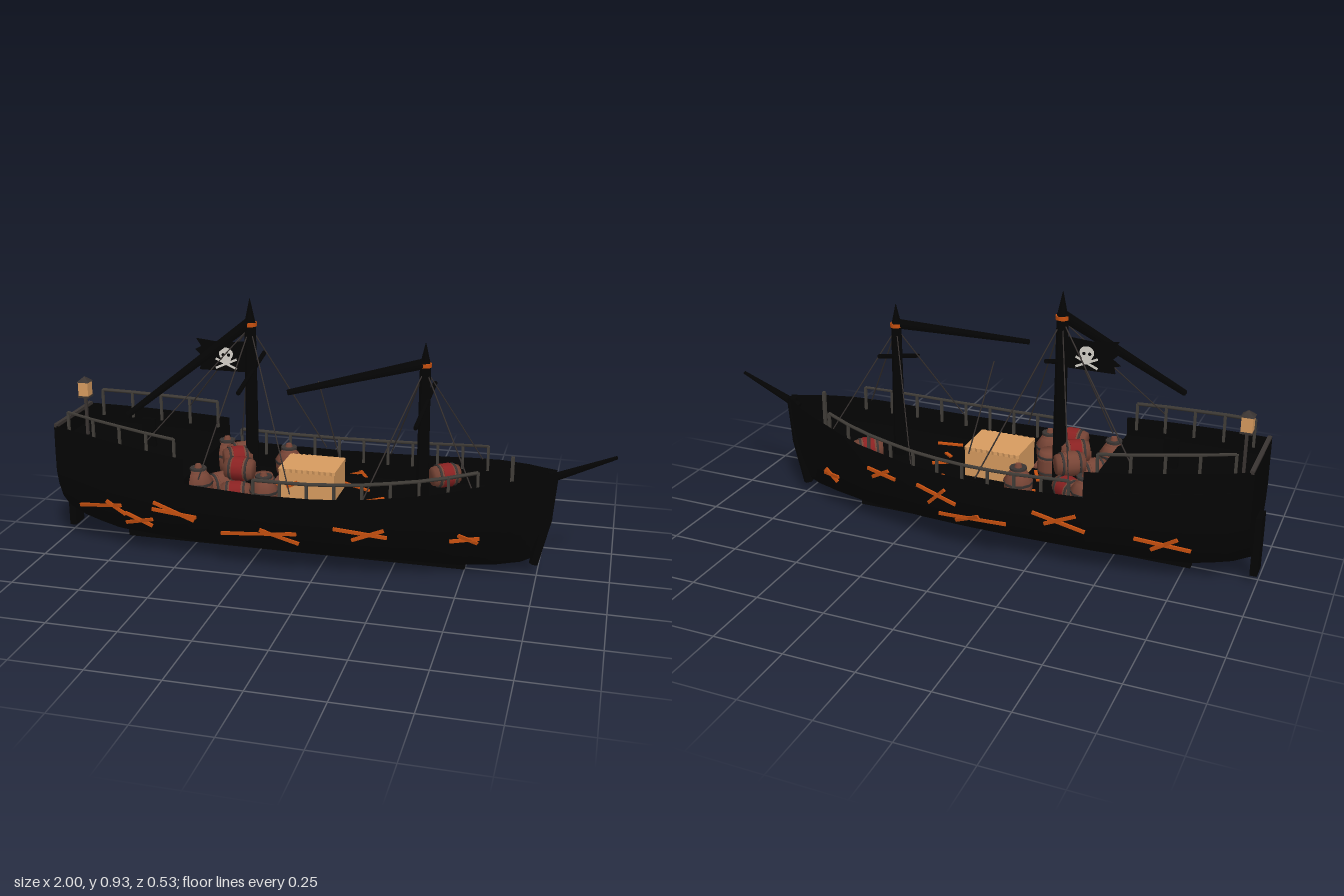
import * as THREE from 'three';

const mat = (name, color, side = THREE.FrontSide) => {
  const m = new THREE.MeshStandardMaterial({ color, side });
  m.name = name;
  return m;
};

// Piecewise-linear lookup in a short list of [x, value] pairs
function lookup(list, x) {
  if (x <= list[0][0]) return list[0][1];
  for (let i = 1; i < list.length; i++) {
    const [a, p] = list[i - 1], [b, q] = list[i];
    if (x <= b) return p + (q - p) * (x - a) / (b - a);
  }
  return list[list.length - 1][1];
}

const WIDTH = [[-0.98, 0.15], [-0.8, 0.197], [-0.6, 0.234], [-0.45, 0.252], [-0.15, 0.264], [0.05, 0.257],
  [0.2, 0.24], [0.4, 0.2], [0.5, 0.168], [0.6, 0.127], [0.7, 0.078], [0.76, 0.036], [0.8, 0.012]];
const KEEL = [[-0.98, 0.09], [-0.9, 0.05], [-0.77, 0.02], [-0.5, 0.01], [0.5, 0.01], [0.65, 0.025], [0.75, 0.045], [0.8, 0.07]];
const SHEER = [[-0.98, 0.37], [-0.45, 0.32], [-0.2, 0.31], [0, 0.31], [0.2, 0.32], [0.4, 0.34], [0.6, 0.37], [0.8, 0.39]];
const PROFILE = [[0, 0], [0.03, 0.15], [0.11, 0.4], [0.31, 0.74], [0.52, 0.92], [0.71, 1], [1, 1]];
const STEP = -0.45;
const aftTop = x => 0.41 + (STEP - x) * 0.095;
const hullZ = (x, y) => {
  const k = lookup(KEEL, x);
  return lookup(WIDTH, x) * lookup(PROFILE, (y - k) / (lookup(SHEER, x) - k));
};
const rake = (x, y) => x - 0.08 * Math.max(0, (x - 0.4) / 0.4) * (1 - Math.min(1, y / 0.38)) ** 1.5;
const deckY = x => lookup(SHEER, x) - 0.1;

// Skin through equal-length cross-sections
function loft(sections) {
  const n = sections[0].length, index = [];
  for (let i = 0; i < sections.length - 1; i++) for (let j = 0; j < n - 1; j++) {
    const a = i * n + j, b = a + n;
    index.push(a, a + 1, b, b, a + 1, b + 1);
  }
  const g = new THREE.BufferGeometry();
  g.setAttribute('position', new THREE.Float32BufferAttribute(sections.flat(2), 3));
  g.setIndex(index);
  g.computeVertexNormals();
  return g;
}

export function createModel() {
  const ship = new THREE.Group();
  ship.name = 'sailingShip';
  const black = mat('charredWood', 0x040404, THREE.DoubleSide);
  const railMat = mat('greyWood', 0x423e39);
  const orange = mat('rustOrange', 0xc8500f);
  const tan = mat('paleWood', 0xd89c60);
  const brown = mat('barrelBrown', 0x784536);
  const red = mat('barrelRed', 0x8a2222);
  const iron = mat('iron', 0x3a3432);
  const bone = mat('bone', 0xd8d4cc, THREE.DoubleSide);

  const add = (name, geo, m, x = 0, y = 0, z = 0, parent = ship) => {
    const mesh = new THREE.Mesh(geo, m);
    mesh.name = name;
    mesh.position.set(x, y, z);
    parent.add(mesh);
    return mesh;
  };
  const box = (name, m, w, h, d, x, y, z, parent) => add(name, new THREE.BoxGeometry(w, h, d), m, x, y, z, parent);
  // Tapered round bar between two points
  const beam = (name, m, a, b, r0, r1 = r0, sides = 6) => {
    const p = new THREE.Vector3(...a), q = new THREE.Vector3(...b), d = q.clone().sub(p);
    const mesh = add(name, new THREE.CylinderGeometry(r1, r0, d.length(), sides), m);
    mesh.position.copy(p).add(q).multiplyScalar(0.5);
    mesh.quaternion.setFromUnitVectors(new THREE.Vector3(0, 1, 0), d.normalize());
  };
  // Flat strip of wood between two points, its broad face towards `out`
  const strip = (name, a, b, out) => {
    const p = new THREE.Vector3(...a), q = new THREE.Vector3(...b), d = q.clone().sub(p);
    const mesh = add(name, new THREE.BoxGeometry(d.length(), 0.012, 0.007), orange);
    mesh.position.copy(p).add(q).multiplyScalar(0.5);
    d.normalize();
    const up = new THREE.Vector3(...out).cross(d).normalize();
    mesh.quaternion.setFromRotationMatrix(new THREE.Matrix4().makeBasis(d, up, d.clone().cross(up)));
  };

  // Hull skin, with a raised after part
  const section = (x, raised) => {
    const k = lookup(KEEL, x), s = lookup(SHEER, x), w = lookup(WIDTH, x);
    const half = PROFILE.map(([v, u]) => [k + (s - k) * v, w * u]);
    half.push([raised ? aftTop(x) : s + 0.001, w * (raised ? 0.98 : 1)]);
    const at = sign => ([y, z]) => [rake(x, y), y, sign * z];
    return [...half.slice(1).reverse().map(at(1)), ...half.map(at(-1))];
  };
  const span = (a, b, n) => Array.from({ length: n + 1 }, (_, i) => a + (b - a) * i / n);
  const aft = span(-0.98, STEP, 8), fore = span(STEP, 0.8, 25);
  add('hull', loft([...aft.map(x => section(x, true)), ...fore.map(x => section(x, false))]), black);
  const sternEdge = section(-0.98, true).map(p => new THREE.Vector2(p[2], p[1]));
  add('transom', new THREE.ShapeGeometry(new THREE.Shape(sternEdge)), black, -0.98).rotation.y = -Math.PI / 2;

  // Decks and the bulkhead between them
  const deckRow = (x, y) => [[rake(x, y), y, hullZ(x, y)], [rake(x, y), y, -hullZ(x, y)]];
  add('mainDeck', loft(fore.map(x => deckRow(x, deckY(x)))), black);
  add('quarterDeck', loft(aft.map(x => deckRow(x, aftTop(x) - 0.07))), black);
  add('bulkhead', loft([deckRow(STEP, deckY(STEP)), deckRow(STEP, 0.34)]), black);
  box('transomCap', iron, 0.014, 0.012, 0.3, -0.972, 0.46, 0);

  // Keel, stem, rudder and bowsprit
  box('keel', black, 1.27, 0.03, 0.03, -0.135, 0.015, 0);
  beam('stem', black, [0.79, 0.385, 0], [0.775, 0.21, 0], 0.02, 0.02);
  beam('stem', black, [0.775, 0.22, 0], [0.738, 0.045, 0], 0.022, 0.018);
  box('rudder', black, 0.025, 0.215, 0.07, -0.9875, 0.137, 0);
  beam('bowsprit', black, [0.76, 0.355, 0], [0.995, 0.457, 0], 0.016, 0.006);

  // Masts with spars
  for (const [x, band, tip, r] of [[-0.28, 0.84, 0.93, 0.021], [0.34, 0.733, 0.81, 0.019]]) {
    beam('mast', black, [x, 0.2, 0], [x, band, 0], r + 0.004, r, 8);
    beam('mastTip', black, [x, band, 0], [x, tip, 0], r, 0.001, 8);
    beam('mastBand', orange, [x, band - 0.007, 0], [x, band + 0.007, 0], r + 0.003, r + 0.003, 10);
  }
  beam('mainBoom', black, [-0.27, 0.855, -0.005], [-0.66, 0.545, 0.22], 0.02, 0.011);
  beam('foreBoom', black, [0.35, 0.74, -0.005], [-0.09, 0.662, 0.2], 0.019, 0.01);
  beam('crossSpar', black, [-0.28, 0.63, 0.15], [-0.26, 0.715, -0.1], 0.008);
  beam('crossSpar', black, [0.34, 0.56, 0.17], [0.36, 0.645, -0.1], 0.008);

  // Rigging
  for (const s of [1, -1]) {
    for (const [x, y, z] of [[-0.6, 0.45, 0.22], [-0.4, 0.34, 0.245], [-0.07, 0.32, 0.255]])
      beam('mainShroud', iron, [-0.28, 0.83, 0], [x, y, s * z], 0.0025, 0.0025, 4);
    for (const [x, y, z] of [[0.18, 0.32, 0.235], [0.53, 0.36, 0.15]])
      beam('foreShroud', iron, [0.34, 0.72, 0], [x, y, s * z], 0.0025, 0.0025, 4);
  }
  beam('looseRope', iron, [-0.035, 0.65, 0], [0.02, 0.33, -0.1], 0.0025, 0.0025, 4);

  // Railings on both sides
  const railing = (name, x0, x1, n, s, inset, foot, rise) => {
    const pts = span(x0, x1, n).map(x => [x, foot(x), s * (lookup(WIDTH, x) - inset)]);
    pts.forEach((p, i) => {
      box(name + 'Post', railMat, 0.009, rise + 0.04, 0.009, p[0], p[1] + rise / 2 - 0.02, p[2]);
      if (i) {
        const up = q => [q[0], q[1] + rise, q[2]];
        beam(name, railMat, up(pts[i - 1]), up(p), 0.0065, 0.0065, 4);
      }
    });
  };
  for (const s of [1, -1]) {
    railing('sternRail', -0.92, -0.49, 4, s, 0.016, aftTop, 0.06);
    railing('mainRail', s > 0 ? -0.2 : -0.4, 0.55, s > 0 ? 8 : 10, s, 0.008, x => lookup(SHEER, x), 0.05);
  }
  box('bowPost', railMat, 0.012, 0.15, 0.012, 0.65, 0.355, 0);

  // Helm post and stern lantern
  box('helmPost', black, 0.05, 0.11, 0.018, -0.675, 0.41, 0);
  box('lanternPost', iron, 0.01, 0.18, 0.01, -0.92, 0.45, 0);
  box('lanternBody', tan, 0.038, 0.056, 0.038, -0.92, 0.562, 0);
  box('lanternBase', iron, 0.042, 0.007, 0.042, -0.92, 0.533, 0);
  add('lanternCap', new THREE.ConeGeometry(0.032, 0.02, 4), iron, -0.92, 0.598, 0).rotation.y = Math.PI / 4;

  // Ragged flag with skull and crossed bones on each face
  const shape = pts => new THREE.Shape(pts.map(p => new THREE.Vector2(...p)));
  const flag = shape([[-0.3, 0.665], [-0.3, 0.775], [-0.39, 0.768], [-0.48, 0.778], [-0.462, 0.75], [-0.485, 0.738],
    [-0.46, 0.715], [-0.488, 0.695], [-0.465, 0.69], [-0.47, 0.665]]);
  add('flag', new THREE.ExtrudeGeometry(flag, { depth: 0.004, bevelEnabled: false }), black, 0, 0, -0.002);
  const skull = new THREE.Shape();
  skull.absellipse(0, 0.006, 0.026, 0.023, -0.7, Math.PI + 0.7, false);
  skull.lineTo(-0.013, -0.025);
  skull.lineTo(0.013, -0.025);
  for (const sx of [-0.01, 0.01]) skull.holes.push(new THREE.Path().absarc(sx, 0.002, 0.006, 0, Math.PI * 2, true));
  for (const s of [1, -1]) {
    add('flagSkull', new THREE.ShapeGeometry(skull, 8), bone, -0.37, 0.722, s * 0.0045);
    for (const t of [1, -1])
      box('flagBone', bone, 0.085, 0.008, 0.002, -0.37, 0.692, s * 0.004).rotation.z = t * 0.42;
  }

  // Crate on skids, with a lid of rough-ended planks
  for (const z of [-0.05, 0.05]) box('crateSkid', black, 0.19, 0.03, 0.03, -0.058, 0.222, z);
  box('crate', tan, 0.2, 0.1, 0.162, -0.058, 0.285, 0);
  const teeth = span(-0.103, 0.103, 20).map((x, i) => [x, 0.08 + (i % 2) * 0.006]);
  const lid = shape([...teeth.map(([x, z]) => [x, -z]), ...teeth.reverse()]);
  add('crateLid', new THREE.ExtrudeGeometry(lid, { depth: 0.012, bevelEnabled: false }), tan, -0.058, 0.334, 0).rotation.x = -Math.PI / 2;

  // Upright jars on square boards
  const lathe = (pts, n) => new THREE.LatheGeometry(pts.map(p => new THREE.Vector2(...p)), n);
  const jarGeo = lathe([[0, 0], [0.034, 0], [0.048, 0.04], [0.05, 0.085], [0.034, 0.11], [0.028, 0.115], [0.028, 0.122], [0, 0.122]], 10);
  for (const x of [-0.43, -0.19]) for (const z of [-0.16, 0.16]) {
    const jar = new THREE.Group();
    jar.name = 'jar';
    jar.position.set(x, deckY(x) + 0.004, z);
    ship.add(jar);
    box('jarBoard', brown, 0.098, 0.008, 0.094, 0, 0.002, 0, jar);
    add('jarBody', jarGeo, brown, 0, 0, 0, jar);
    add('jarHoop', new THREE.CylinderGeometry(0.0515, 0.0505, 0.01, 10), iron, 0, 0.074, 0, jar);
    add('jarLid', new THREE.CylinderGeometry(0.03, 0.03, 0.008, 10), iron, 0, 0.126, 0, jar);
    add('jarKnob', new THREE.CylinderGeometry(0.01, 0.014, 0.012, 8), brown, 0, 0.136, 0, jar);
  }

  // Barrels: tilt lays one down, turn swings it round
  const staves = lathe([[0, -0.05], [0.034, -0.05], [0.042, -0.02], [0.042, 0.02], [0.034, 0.05], [0, 0.05]], 12);
  const barrel = (belly, x, y, z, turn, tilt = Math.PI / 2) => {
    const g = new THREE.Group();
    g.name = 'barrel';
    g.position.set(x, y, z);
    g.rotation.set(0, turn, tilt);
    ship.add(g);
    add('barrelBody', staves, brown, 0, 0, 0, g);
    add('barrelBelly', new THREE.CylinderGeometry(0.0435, 0.0435, 0.04, 12), belly, 0, 0, 0, g);
    for (const s of [1, -1]) add('barrelHoop', new THREE.CylinderGeometry(0.042, 0.042, 0.008, 12), iron, 0, s * 0.03, 0, g);
  };
  barrel(red, -0.3, 0.262, 0.14, 0.2);
  barrel(brown, -0.38, 0.265, 0.07, 0.8);
  barrel(red, -0.35, 0.265, -0.1, -0.6);
  barrel(brown, -0.22, 0.265, 0.07, 0, 0);
  barrel(brown, -0.34, 0.34, -0.06, 0.6);
  barrel(red, -0.29, 0.347, 0.12, 0);
  barrel(red, -0.33, 0.35, 0.02, 0.5);
  barrel(red, 0.4, 0.295, -0.13, 0.6);

  // Crossed splinters of wood nailed to the hull sides
  const leftScars = [[-0.9, 0.16, -0.71, 0.2], [-0.77, 0.21, -0.7, 0.16], [-0.71, 0.12, -0.59, 0.16], [-0.7, 0.17, -0.6, 0.125],
    [-0.58, 0.21, -0.41, 0.2], [-0.57, 0.24, -0.42, 0.185], [-0.33, 0.14, -0.05, 0.175], [-0.18, 0.18, -0.05, 0.125],
    [0.08, 0.21, 0.26, 0.18], [0.14, 0.165, 0.25, 0.21], [0.47, 0.165, 0.575, 0.17], [0.5, 0.19, 0.57, 0.15]];
  const rightScars = [[0.54, 0.16, 0.63, 0.15], [0.56, 0.13, 0.61, 0.175], [0.24, 0.25, 0.36, 0.265], [0.27, 0.275, 0.34, 0.235],
    [0.0, 0.21, 0.15, 0.255], [0.04, 0.26, 0.11, 0.19], [-0.18, 0.165, 0.08, 0.145], [-0.08, 0.175, 0.02, 0.125],
    [-0.46, 0.19, -0.28, 0.24], [-0.43, 0.25, -0.32, 0.2], [-0.8, 0.15, -0.62, 0.19], [-0.76, 0.2, -0.67, 0.14]];
  for (const [s, scars] of [[1, leftScars], [-1, rightScars]]) for (const [x0, y0, x1, y1] of scars) {
    const on = (x, y) => [rake(x, y), y, s * (hullZ(x, y) + 0.008)];
    strip('hullSplinter', on(x0, y0), on(x1, y1), [0, 0, s]);
  }
  // Loose splinters on the deck and the crate
  for (const [x0, z0, x1, z1] of [[0.01, -0.17, 0.13, -0.09], [-0.05, 0.1, -0.01, 0.115], [0.04, 0.1, 0.09, 0.09],
    [0.16, 0.17, 0.25, 0.14], [0.14, 0.02, 0.2, -0.02], [0.16, 0.06, 0.19, 0.08], [-0.2, 0.01, -0.165, 0.08], [-0.22, -0.07, -0.17, -0.1]])
    strip('deckSplinter', [x0, deckY(x0) + 0.008, z0], [x1, deckY(x1) + 0.008, z1], [0, 1, 0]);
  strip('crateSplinter', [-0.13, 0.28, 0.085], [-0.09, 0.3, 0.085], [0, 0, 1]);
  return ship;
}
